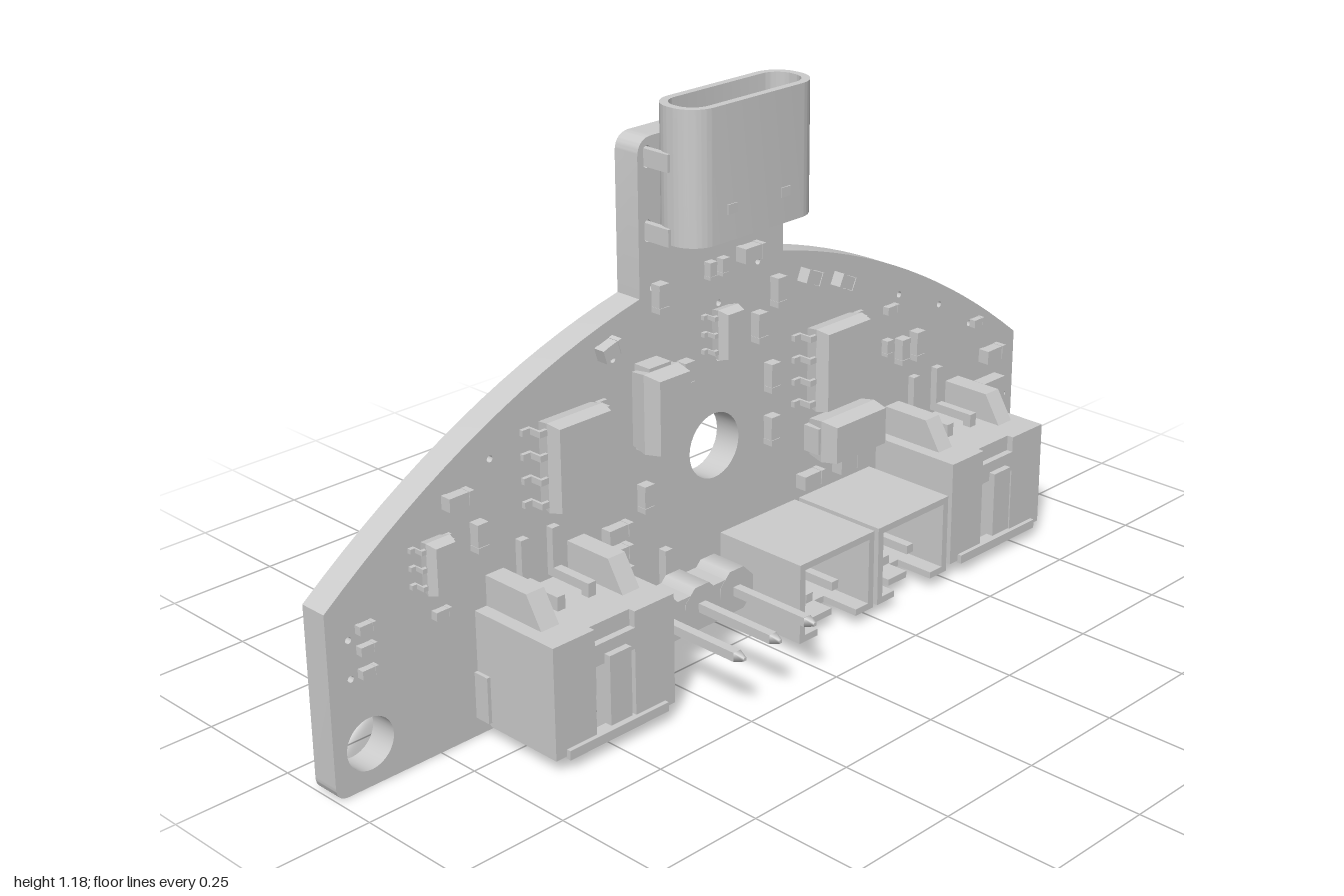
import * as THREE from 'three';
import { toCreasedNormals } from 'three/addons/utils/BufferGeometryUtils.js';

const grey = new THREE.MeshStandardMaterial({ color: 0xcccccc, side: THREE.DoubleSide });
const FACE = -0.097, BACK = -0.16; // front and back faces of the board

function add(parent, name, geo, x = 0, y = 0, z = 0) {
  const m = new THREE.Mesh(geo, grey);
  m.name = name;
  m.position.set(x, y, z);
  parent.add(m);
  return m;
}
// box given by its limits
const span = (p, name, x0, x1, y0, y1, z0, z1) =>
  add(p, name, new THREE.BoxGeometry(x1 - x0, y1 - y0, z1 - z0), (x0 + x1) / 2, (y0 + y1) / 2, (z0 + z1) / 2);

const extrude = (shape, depth, curveSegments = 16) => toCreasedNormals(
  new THREE.ExtrudeGeometry(shape, { depth, curveSegments, bevelEnabled: false }), 0.5);

function rounded(w, h, r, T = THREE.Shape, cx = 0, cy = 0) {
  const s = new T(), a = w / 2 - r, b = h / 2 - r;
  s.absarc(cx + a, cy + b, r, 0, Math.PI / 2);
  s.absarc(cx - a, cy + b, r, Math.PI / 2, Math.PI);
  s.absarc(cx - a, cy - b, r, Math.PI, Math.PI * 1.5);
  s.absarc(cx + a, cy - b, r, Math.PI * 1.5, Math.PI * 2);
  s.closePath();
  return s;
}

function board(g) {
  const s = new THREE.Shape();
  s.moveTo(-0.97, 0);
  s.lineTo(0.97, 0);
  s.quadraticCurveTo(1, 0, 1, 0.03);
  s.lineTo(1, 0.39);
  s.quadraticCurveTo(0.62, 0.69, 0.205, 0.785);
  s.lineTo(0.205, 0.9);
  for (let i = 0; i < 9; i++) { // notched edge of the neck
    const y = 0.9 + i * 0.019;
    s.lineTo(0.198, y + 0.003);
    s.lineTo(0.198, y + 0.011);
    s.lineTo(0.205, y + 0.014);
  }
  s.quadraticCurveTo(0.205, 1.11, 0.165, 1.11);
  s.lineTo(-0.165, 1.11);
  s.quadraticCurveTo(-0.205, 1.11, -0.205, 1.07);
  s.lineTo(-0.205, 0.785);
  s.quadraticCurveTo(-0.62, 0.69, -1, 0.39);
  s.lineTo(-1, 0.03);
  s.quadraticCurveTo(-1, 0, -0.97, 0);

  const hole = (x, y, r) => s.holes.push(new THREE.Path().absarc(x, y, r, 0, Math.PI * 2, true));
  hole(0, 0.41, 0.072);
  for (const k of [-1, 1]) {
    hole(k * 0.915, 0.09, 0.055);
    hole(k * 0.07, 1.04, 0.013);
    for (const y of [0.92, 1.07]) s.holes.push(rounded(0.018, 0.045, 0.0085, THREE.Path, k * 0.18, y));
    for (const c of [-0.5, 0.67]) hole(c + k * 0.04, 0.15, 0.015);
  }
  // small plated holes
  for (let i = 0; i < 5; i++) {
    for (const x of [-0.43, -0.395, 0.325, 0.36]) hole(x, 0.435 + i * 0.037, 0.007);
    hole(-0.06 + i * 0.03, 0.945, 0.007);
    hole(0.86 + i * 0.027, 0.21, 0.007);
  }
  for (const y of [0.6, 0.64, 0.68, 0.72]) hole(0.015, y, 0.007);
  for (const y of [0.37, 0.41, 0.45]) hole(-0.755, y, 0.007);
  for (const [x, y] of [[0.58, 0.59], [0.72, 0.53], [0.83, 0.455], [0.13, 0.78], [-0.17, 0.8],
    [-0.95, 0.32], [-0.95, 0.24], [-0.28, 0.68], [-0.6, 0.57], [0.97, 0.24]]) hole(x, y, 0.007);
  add(g, 'circuitBoard', extrude(s, FACE - BACK), 0, 0, BACK);
}

// Socket at the top: rounded shell open upward, with a tongue inside
function topSocket(g) {
  const p = new THREE.Group();
  p.name = 'topSocket';
  g.add(p);
  const zc = -0.033;
  const ring = rounded(0.36, 0.125, 0.058);
  ring.holes.push(rounded(0.326, 0.091, 0.042, THREE.Path));
  add(p, 'socketShell', extrude(ring, 0.275).rotateX(-Math.PI / 2), 0, 0.905, zc);
  add(p, 'socketFloor', extrude(rounded(0.33, 0.095, 0.043), 0.07).rotateX(-Math.PI / 2), 0, 0.908, zc);
  span(p, 'socketTongue', -0.125, 0.125, 0.97, 1.15, zc - 0.013, zc + 0.013);
  for (const k of [-1, 1]) for (const y of [0.92, 1.07])
    span(p, 'shellLeg', k * 0.18 - 0.007, k * 0.18 + 0.007, y - 0.018, y + 0.018, -0.14, zc);
  for (let i = -4; i <= 4; i++) span(p, 'socketContact', i * 0.023 - 0.006, i * 0.023 + 0.006, 0.885, 0.915, FACE, -0.082);
  for (const k of [-1, 1]) span(p, 'shellLatch', k * 0.075 - 0.013, k * 0.075 + 0.013, 0.96, 0.98, 0.028, 0.032);
}

// Side entry connector, its mouth facing down
function sideConnector(g, cx) {
  const p = new THREE.Group();
  p.name = 'sideConnector';
  p.position.x = cx;
  g.add(p);
  const side = (pts, w, x) => {
    const s = new THREE.Shape(pts.map(q => new THREE.Vector2(...q)));
    add(p, 'connectorCheek', extrude(s, w).translate(0, 0, -w / 2).rotateY(-Math.PI / 2), x);
  };
  for (const k of [-1, 1]) {
    side([[FACE, 0.05], [-0.06, 0.03], [0.125, 0.03], [0.125, 0.27], [0.05, 0.27], [FACE, 0.27]], 0.03, k * 0.142);
    side([[FACE, 0.06], [0.06, 0.06], [0.06, 0.27], [0.02, 0.335], [FACE, 0.335]], 0.045, k * 0.105);
    span(p, 'frontWall', Math.min(k * 0.052, k * 0.13), Math.max(k * 0.052, k * 0.13), 0.035, 0.27, 0.1, 0.125);
    span(p, 'connectorPin', k * 0.04 - 0.01, k * 0.04 + 0.01, 0.05, 0.3, 0.0, 0.02);
    span(p, 'pinShoulder', k * 0.04 - 0.01, k * 0.04 + 0.01, 0.28, 0.3, -0.085, 0.02);
    span(p, 'pinFoot', k * 0.04 - 0.01, k * 0.04 + 0.01, 0.28, 0.385, FACE, -0.08);
    span(p, 'anchorTab', k * 0.157 - 0.008, k * 0.157 + 0.008, 0.04, 0.14, FACE, -0.06);
  }
  span(p, 'backWall', -0.13, 0.13, 0.05, 0.27, FACE, -0.07);
  span(p, 'endWall', -0.13, 0.13, 0.2, 0.27, -0.07, 0.11);
  span(p, 'frontBridge', -0.055, 0.055, 0.19, 0.235, 0.1, 0.125);
  span(p, 'frontTongue', -0.028, 0.028, 0.06, 0.21, 0.1, 0.14);
  span(p, 'lowerLip', -0.13, 0.13, 0.025, 0.045, 0.105, 0.135);
}

// Boxed socket facing forward, two bent pins passing through the board
function boxSocket(g, cx) {
  const p = new THREE.Group();
  p.name = 'boxSocket';
  p.position.x = cx;
  g.add(p);
  span(p, 'socketBase', -0.115, 0.115, 0.025, 0.205, FACE, -0.06);
  span(p, 'topWall', -0.115, 0.115, 0.19, 0.205, -0.06, 0.132);
  span(p, 'bottomWall', -0.115, 0.115, 0.025, 0.04, -0.06, 0.04);
  for (const k of [-1, 1]) {
    span(p, 'sideWall', k * 0.107 - 0.008, k * 0.107 + 0.008, 0.025, 0.205, -0.06, 0.132);
    span(p, 'bottomFinger', k * 0.085 - 0.025, k * 0.085 + 0.025, 0.025, 0.04, 0.04, 0.132);
    span(p, 'pin', k * 0.04 - 0.01, k * 0.04 + 0.01, 0.08, 0.1, -0.06, 0.09);
    const path = new THREE.CatmullRomCurve3([[0.09, -0.1], [0.088, -0.16], [0.078, -0.185], [0.09, -0.215], [0.094, -0.235]]
      .map(([y, z]) => new THREE.Vector3(k * 0.04, y, z)));
    add(p, 'bentPin', new THREE.TubeGeometry(path, 16, 0.01, 8));
    add(p, 'pinTip', new THREE.SphereGeometry(0.01, 8, 6), k * 0.04, 0.094, -0.235);
  }
  span(p, 'bottomKey', -0.03, 0.03, 0.025, 0.04, 0.04, 0.09);
}

function pinHeader(g) {
  const p = new THREE.Group();
  p.name = 'pinHeader';
  g.add(p);
  [-0.255, -0.153, -0.052].forEach((x, i) => {
    const k = i % 2 ? 1 : -1;
    const seg = new THREE.CylinderGeometry(0.052, 0.052, 0.085, 8).rotateY(Math.PI / 8).rotateX(Math.PI / 2);
    add(p, 'headerBlock', seg, x, 0.135, -0.025);
    span(p, 'headerPin', x - 0.01, x + 0.01, 0.125, 0.145, -0.08, 0.215);
    add(p, 'pinPoint', new THREE.CylinderGeometry(0.005, 0.014, 0.022, 4).rotateY(Math.PI / 4).rotateX(Math.PI / 2), x, 0.135, 0.226);
    span(p, 'headerFoot', x - 0.01, x + 0.01, 0.135 + Math.min(0, k * 0.095), 0.135 + Math.max(0, k * 0.095), FACE, -0.077);
  });
  span(p, 'headerBody', -0.26, -0.045, 0.1, 0.17, -0.067, 0.017);
}

// Package body whose upper half tapers slightly
function packageBody(g, name, x, y, w, h, z0, z1) {
  const geo = new THREE.BoxGeometry(w, h, z1 - z0, 1, 1, 2), pos = geo.attributes.position;
  for (let i = 0; i < pos.count; i++) if (Math.abs(pos.getZ(i)) > 1e-6)
    pos.setXY(i, pos.getX(i) - Math.sign(pos.getX(i)) * 0.006, pos.getY(i) - Math.sign(pos.getY(i)) * 0.006);
  geo.computeVertexNormals();
  add(g, name, toCreasedNormals(geo, 0.1), x, y, (z0 + z1) / 2);
}

function leadedChip(g, name, x, y, w, h, top, legs, pitch, reach, skip = -1) {
  const p = new THREE.Group();
  p.name = name;
  g.add(p);
  packageBody(p, 'chipBody', x, y, w, h, FACE + 0.006, top);
  const mid = (FACE + top) / 2, t = pitch * 0.13;
  for (const k of [-1, 1]) for (let i = 0; i < legs; i++) {
    if (k > 0 && i === skip) continue;
    const ly = y + (i - (legs - 1) / 2) * pitch;
    const bar = (a, b, z0, z1) => span(p, 'chipLead', x + Math.min(k * a, k * b), x + Math.max(k * a, k * b), ly - t, ly + t, z0, z1);
    bar(w / 2 - 0.01, w / 2 + reach * 0.5, mid - 0.004, mid + 0.004);
    bar(w / 2 + reach * 0.35, w / 2 + reach * 0.5, FACE, mid);
    bar(w / 2 + reach * 0.35, w / 2 + reach, FACE, FACE + 0.009);
  }
}

function passive(g, x, y, w, h, turn = 0) {
  const p = new THREE.Group();
  p.name = 'smallComponent';
  p.position.set(x, y, FACE);
  p.rotation.z = turn;
  g.add(p);
  const tall = h > w, l = Math.max(w, h), s = Math.min(w, h), d = Math.min(0.028, s * 0.9);
  const bar = (name, c, len, thick, depth) => tall
    ? span(p, name, -thick / 2, thick / 2, c - len / 2, c + len / 2, 0, depth)
    : span(p, name, c - len / 2, c + len / 2, -thick / 2, thick / 2, 0, depth);
  bar('componentBody', 0, l * 0.6, s * 0.94, d * 0.93);
  for (const k of [-1, 1]) bar('endCap', k * l * 0.4, l * 0.2, s, d);
}

export function createModel() {
  const g = new THREE.Group();
  g.name = 'connectorBoard';
  board(g);
  topSocket(g);
  for (const x of [-0.495, 0.67]) sideConnector(g, x);
  for (const x of [0.132, 0.376]) boxSocket(g, x);
  pinHeader(g);
  leadedChip(g, 'largeChip', -0.415, 0.525, 0.145, 0.187, -0.03, 4, 0.05, 0.037);
  leadedChip(g, 'largeChip', 0.343, 0.508, 0.145, 0.187, -0.03, 4, 0.05, 0.037);
  leadedChip(g, 'smallChip', -0.755, 0.413, 0.058, 0.108, -0.045, 3, 0.037, 0.02);
  leadedChip(g, 'smallChip', 0.013, 0.665, 0.058, 0.108, -0.045, 3, 0.037, 0.02, 1);
  // moulded two terminal parts
  packageBody(g, 'tallComponent', -0.192, 0.563, 0.095, 0.17, FACE + 0.004, -0.013);
  packageBody(g, 'wideComponent', 0.367, 0.343, 0.17, 0.095, FACE + 0.004, -0.013);
  for (const k of [-1, 1]) {
    span(g, 'terminal', -0.222, -0.162, 0.563 + k * 0.08 - 0.012, 0.563 + k * 0.08 + 0.012, FACE, -0.055);
    span(g, 'terminal', 0.367 + k * 0.08 - 0.012, 0.367 + k * 0.08 + 0.012, 0.313, 0.373, FACE, -0.055);
  }
  span(g, 'squareComponent', 0.857, 0.932, 0.225, 0.305, FACE, -0.065);
  // small parts: x, y, width, height, turn
  for (const a of [
    [-0.16, 0.78, 0.027, 0.06], [-0.3, 0.71, 0.05, 0.03, 0.3], [-0.69, 0.52, 0.06, 0.028], [-0.642, 0.428, 0.027, 0.06],
    [-0.092, 0.6, 0.028, 0.055], [0.123, 0.642, 0.027, 0.065], [0.02, 0.8, 0.02, 0.037], [-0.016, 0.8, 0.02, 0.037],
    [0.096, 0.812, 0.06, 0.032], [0.18, 0.706, 0.027, 0.065], [0.162, 0.52, 0.027, 0.065], [0.162, 0.4, 0.027, 0.065],
    [0.28, 0.711, 0.055, 0.03, -0.4], [0.385, 0.674, 0.055, 0.03, -0.45], [-0.288, 0.316, 0.065, 0.028],
    [-0.288, 0.267, 0.065, 0.028], [-0.288, 0.219, 0.065, 0.028], [-0.208, 0.364, 0.027, 0.06], [0.283, 0.248, 0.065, 0.032],
    [0.4, 0.248, 0.065, 0.032], [0.583, 0.46, 0.027, 0.06], [0.633, 0.46, 0.027, 0.068], [0.535, 0.48, 0.02, 0.037],
    [0.546, 0.567, 0.037, 0.018], [0.85, 0.455, 0.035, 0.018], [0.904, 0.364, 0.065, 0.032], [-0.915, 0.337, 0.037, 0.018],
    [-0.915, 0.294, 0.037, 0.018], [-0.915, 0.246, 0.037, 0.018], [-0.738, 0.3, 0.037, 0.018],
  ]) passive(g, ...a);
  return g;
}
